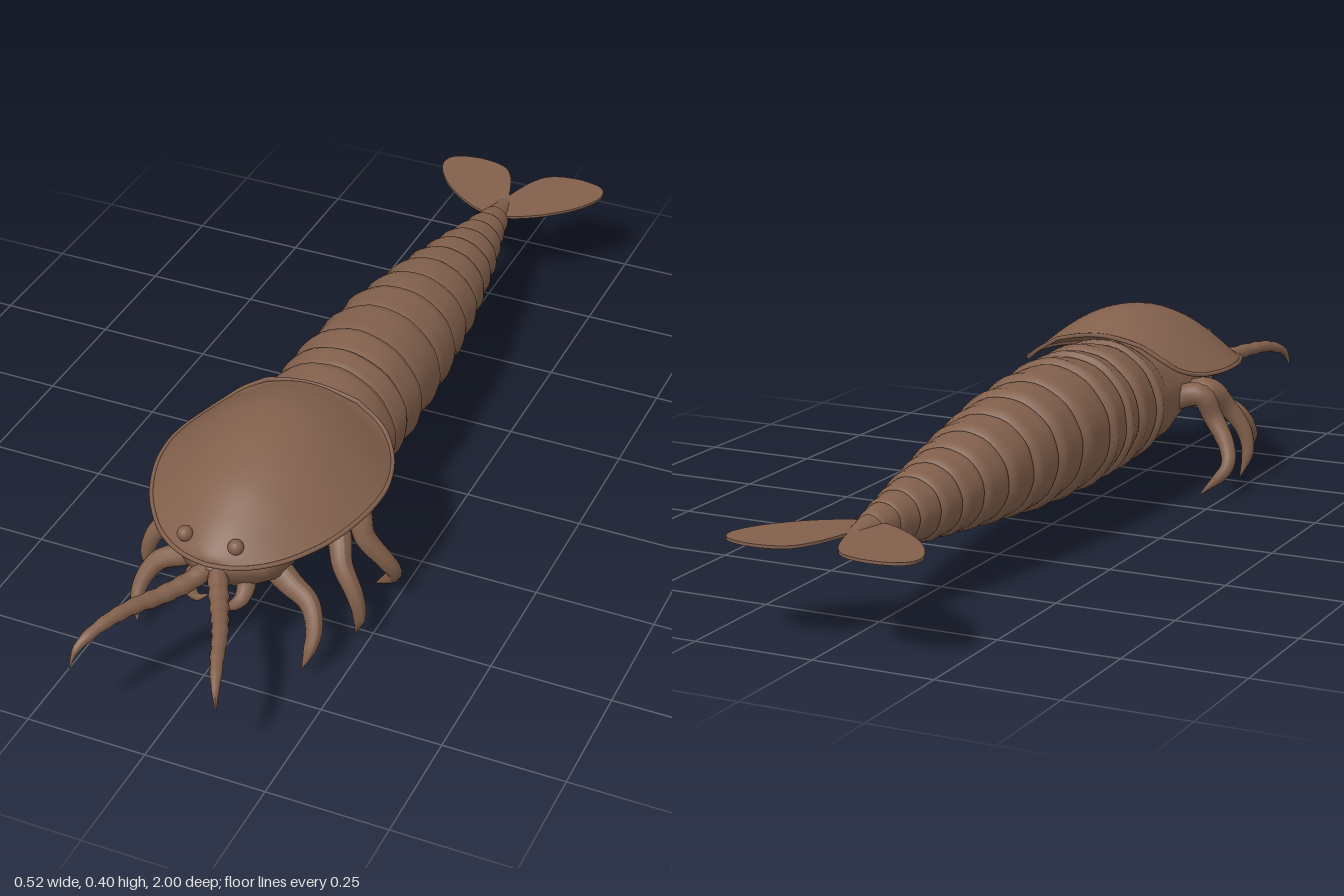
import * as THREE from 'three';

const shell = new THREE.MeshStandardMaterial({ color: 0x82604c, side: THREE.DoubleSide });
shell.name = 'brown shell';

// Skin a list of equally long point rows; closed joins each row into a loop
function skin(rows, closed) {
  const n = rows[0].length, index = [];
  for (let i = 0; i < rows.length - 1; i++) {
    for (let j = 0; j < (closed ? n : n - 1); j++) {
      const k = (j + 1) % n, a = i * n, b = a + n;
      index.push(a + j, b + j, a + k, b + j, b + k, a + k);
    }
  }
  const g = new THREE.BufferGeometry();
  g.setAttribute('position', new THREE.Float32BufferAttribute(rows.flat(2), 3));
  g.setIndex(index);
  g.computeVertexNormals();
  return g;
}

// Elliptical ring across the body axis, with faint wrinkles
function ring(z, cy, rx, ry, wrinkle = 0) {
  const row = [];
  for (let j = 0; j < 40; j++) {
    const a = (j / 40) * Math.PI * 2;
    const k = 1 + wrinkle * Math.sin(a * 7 + z * 31) * Math.sin(a * 3 - z * 17);
    row.push([Math.cos(a) * rx * k, cy + Math.sin(a) * ry * k, z]);
  }
  return row;
}

// Linear lookup in a table of [key, ...values]
function lookup(table, key) {
  let i = 0;
  while (i < table.length - 2 && key < table[i + 1][0]) i++;
  const a = table[i], b = table[i + 1];
  const t = THREE.MathUtils.clamp((key - a[0]) / (b[0] - a[0]), 0, 1);
  return a.slice(1).map((v, j) => v + (b[j + 1] - v) * t);
}

// Tube whose radius follows a list of values along its path
function taperedTube(points, radii, ripple = 0) {
  const path = new THREE.CatmullRomCurve3(points.map(p => new THREE.Vector3(...p)));
  const steps = 36, sides = 12;
  const g = new THREE.TubeGeometry(path, steps, 1, sides, false);
  const pos = g.attributes.position, v = new THREE.Vector3();
  for (let i = 0; i <= steps; i++) {
    const c = path.getPointAt(i / steps), f = (i / steps) * (radii.length - 1);
    const k = Math.min(Math.floor(f), radii.length - 2);
    const r = THREE.MathUtils.lerp(radii[k], radii[k + 1], f - k) * (1 + ripple * Math.sin(i * 1.8));
    for (let j = 0; j <= sides; j++) {
      const id = i * (sides + 1) + j;
      v.fromBufferAttribute(pos, id).sub(c).multiplyScalar(r).add(c);
      pos.setXYZ(id, v.x, v.y, v.z);
    }
  }
  g.computeVertexNormals();
  return g;
}

export function createModel() {
  const model = new THREE.Group();
  const add = (name, geometry) => {
    const mesh = new THREE.Mesh(geometry, shell);
    mesh.name = name;
    model.add(mesh);
    return mesh;
  };

  // Abdomen: overlapping barrel rings, [z, centre y, half width, half height]
  const body = [
    [0.3, 0.213, 0.142, 0.132], [0.2, 0.216, 0.145, 0.141], [0, 0.213, 0.143, 0.142],
    [-0.2, 0.208, 0.131, 0.127], [-0.4, 0.2, 0.106, 0.1], [-0.6, 0.191, 0.071, 0.069],
    [-0.75, 0.193, 0.037, 0.037], [-0.87, 0.187, 0.012, 0.014]];
  const seams = [0.3, 0.235, 0.14, 0.08, 0, -0.12, -0.22, -0.31, -0.4, -0.48, -0.55, -0.615, -0.675, -0.73, -0.78, -0.865];
  const bulge = [[0, 0.92], [0.05, 0.965], [0.25, 0.985], [0.5, 0.995], [0.75, 1.025], [0.92, 1.01], [1, 0.92]];
  for (let s = 0; s < seams.length - 1; s++) {
    const rows = bulge.map(([t, k]) => {
      const z = THREE.MathUtils.lerp(seams[s], seams[s + 1], t);
      const [cy, rx, ry] = lookup(body, z);
      return ring(z, cy, rx * k, ry * k, 0.009);
    });
    add('abdomenSegment' + (s + 1), skin(rows, true));
  }
  const tip = add('tailTip', new THREE.SphereGeometry(0.013, 12, 8));
  tip.position.set(0, 0.187, -0.86);

  // Head and thorax beneath the carapace
  const head = [
    [0.715, 0.232, 0.005, 0.005], [0.7, 0.23, 0.04, 0.025], [0.66, 0.215, 0.088, 0.05],
    [0.61, 0.21, 0.112, 0.069], [0.54, 0.21, 0.12, 0.074], [0.46, 0.212, 0.127, 0.082],
    [0.4, 0.212, 0.132, 0.1], [0.34, 0.212, 0.138, 0.121], [0.27, 0.213, 0.14, 0.128]];
  add('head', skin(head.map(h => ring(...h, 0.03)), true));

  // Carapace: arched sections, [z, half width, crown y, rim y]
  const dome = [
    [0.236, 0.1, 0.366, 0.35], [0.245, 0.15, 0.372, 0.32], [0.265, 0.18, 0.379, 0.298],
    [0.31, 0.208, 0.394, 0.284], [0.37, 0.226, 0.404, 0.28], [0.43, 0.23, 0.402, 0.279],
    [0.5, 0.22, 0.39, 0.276], [0.58, 0.19, 0.362, 0.268], [0.65, 0.142, 0.322, 0.261],
    [0.69, 0.095, 0.293, 0.257], [0.712, 0.048, 0.272, 0.255], [0.72, 0.002, 0.256, 0.254]];
  const sizes = new THREE.CatmullRomCurve3(dome.map(d => new THREE.Vector3(d[1], d[2], d[3])), false, 'catmullrom');
  const depth = new THREE.CatmullRomCurve3(dome.map(d => new THREE.Vector3(0, 0, d[0])), false, 'catmullrom');
  const arches = [];
  for (let i = 0; i <= 66; i++) {
    const s = sizes.getPoint(i / 66), z = depth.getPoint(i / 66).z, row = [];
    for (let j = 0; j <= 40; j++) {
      const u = j / 20 - 1;
      row.push([u * s.x, s.z + (s.y - s.z) * Math.cos(u * Math.PI / 2), z]);
    }
    arches.push(row);
  }
  add('carapace', skin(arches, false));
  const edge = [...arches.map(r => r[40]), ...arches.slice(0, -1).reverse().map(r => r[0]), ...arches[0].slice(1, -1)]
    .map(p => new THREE.Vector3(...p));
  add('carapaceRim', new THREE.TubeGeometry(new THREE.CatmullRomCurve3(edge, true), 160, 0.005, 6, true));

  for (const side of [1, -1]) {
    const label = side > 0 ? 'left' : 'right';
    const flip = pts => pts.map(([x, y, z]) => [x * side, y, z]);

    // Eye
    const eye = add(label + 'Eye', new THREE.IcosahedronGeometry(0.016, 2));
    eye.position.set(side > 0 ? 0.046 : -0.062, 0.287, 0.687);

    // Antenna
    add(label + 'Antenna', taperedTube(flip([
      [0, 0.235, 0.68], [0.028, 0.216, 0.73], [0.06, 0.213, 0.79], [0.095, 0.22, 0.86],
      [0.125, 0.217, 0.935], [0.145, 0.195, 0.982], [0.152, 0.16, 0.997]]),
    [0.018, 0.02, 0.018, 0.016, 0.014, 0.011, 0.001], 0.06));

    // Mouthpart
    add(label + 'Mouthpart', taperedTube(flip([
      [0.05, 0.19, 0.64], [0.055, 0.165, 0.69], [0.035, 0.15, 0.7], [0.015, 0.155, 0.69]]),
    [0.02, 0.018, 0.012, 0.001]));

    // Front, middle and rear legs, from shoulder to claw
    const legs = [
      ['FrontLeg', [[0.06, 0.175, 0.57], [0.115, 0.155, 0.595], [0.165, 0.135, 0.615], [0.188, 0.095, 0.645], [0.187, 0.06, 0.67], [0.179, 0.028, 0.683]]],
      ['MiddleLeg', [[0.1, 0.2, 0.46], [0.16, 0.212, 0.475], [0.19, 0.165, 0.515], [0.222, 0.115, 0.53], [0.233, 0.065, 0.53], [0.22, 0.007, 0.518]]],
      ['RearLeg', [[0.1, 0.2, 0.39], [0.17, 0.216, 0.4], [0.195, 0.165, 0.415], [0.235, 0.105, 0.4], [0.244, 0.065, 0.38], [0.192, 0.003, 0.353]]],
    ];
    for (const [name, pts] of legs) {
      add(label + name, taperedTube(flip(pts), [0.026, 0.027, 0.023, 0.02, 0.017, 0.013, 0.001]));
    }

    // Tail fan lobe
    const lobe = new THREE.Shape();
    lobe.moveTo(0, 0.765);
    lobe.splineThru([[0.055, 0.785], [0.115, 0.825], [0.168, 0.88], [0.198, 0.94], [0.185, 0.983],
      [0.125, 0.999], [0.06, 0.985], [0.025, 0.94], [0, 0.865]].map(([x, y]) => new THREE.Vector2(x * side, y)));
    const fan = add(label + 'TailFan', new THREE.ExtrudeGeometry(lobe, { depth: 0.006, bevelEnabled: false, curveSegments: 40 }));
    fan.rotation.x = -Math.PI / 2;
    fan.position.y = 0.2;
  }
  return model;
}
